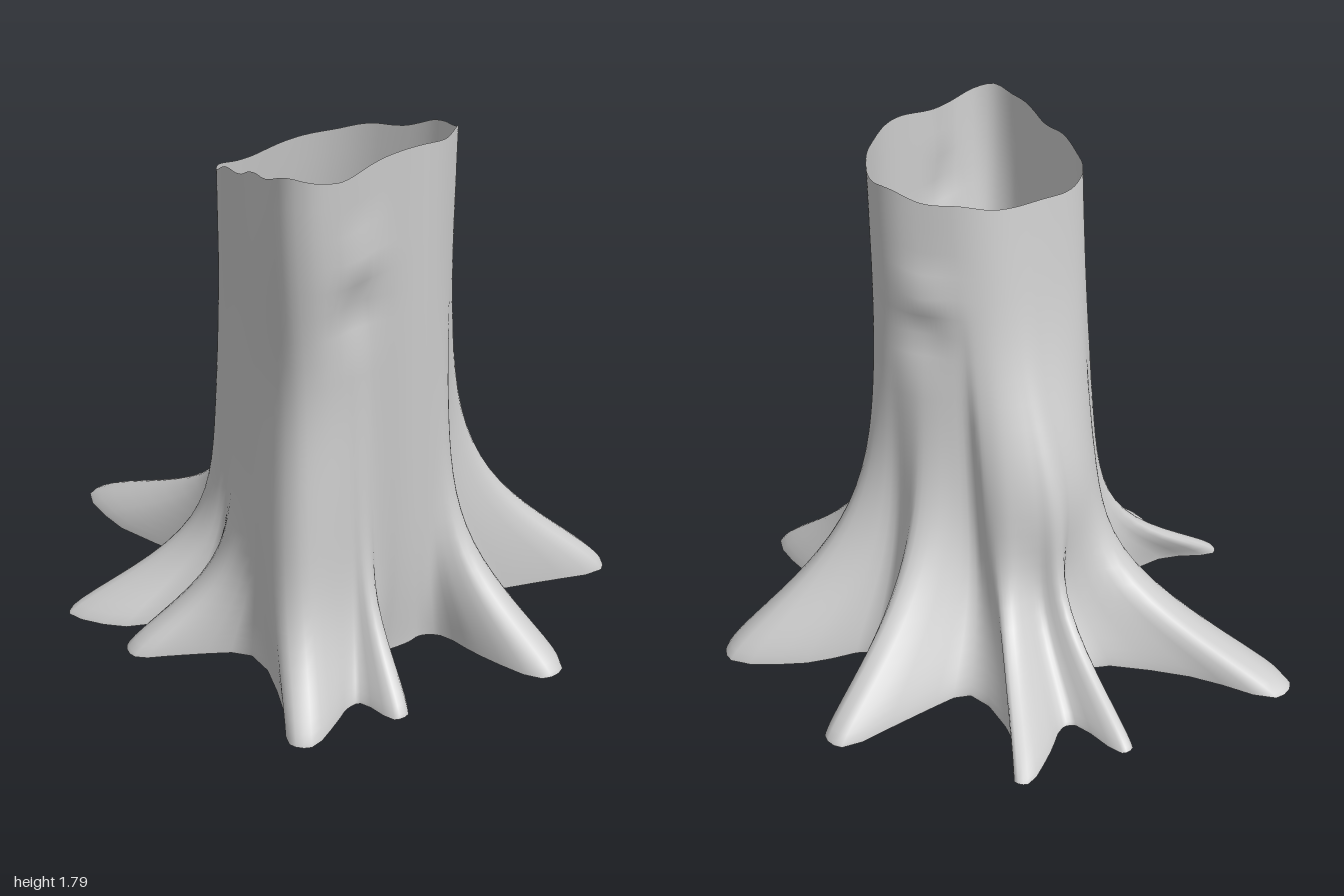
import * as THREE from 'three';

// Roots around the trunk: valley before it, bend, half width at the bend, tip
const ROOTS = [
  { valley: [0.4, -0.25], bend: [0.62, -0.09], width: 0.11, tip: [0.9, -0.11] },
  { valley: [0.5, 0.17], bend: [0.65, 0.4], width: 0.13, tip: [0.88, 0.53] },
  { valley: [0.33, 0.47], bend: [0.26, 0.76], width: 0.12, tip: [0.28, 0.98] },
  { valley: [0.1, 0.6], bend: [-0.05, 0.56], width: 0.09, tip: [-0.05, 0.57] },
  { valley: [-0.18, 0.61], bend: [-0.28, 0.77], width: 0.07, tip: [-0.28, 0.9] },
  { valley: [-0.4, 0.77], bend: [-0.52, 0.74], width: 0.09, tip: [-0.63, 0.85] },
  { valley: [-0.51, 0.35], bend: [-0.69, 0.12], width: 0.1, tip: [-0.84, 0.1] },
  { valley: [-0.58, 0.02], bend: [-0.74, -0.09], width: 0.07, tip: [-0.9, -0.24] },
  { valley: [-0.35, -0.16], bend: [-0.37, -0.68], width: 0.13, tip: [-0.43, -0.98] },
  { valley: [0, -0.42], bend: [0.18, -0.62], width: 0.06, tip: [0.2, -0.82] },
  { valley: [0.28, -0.59], bend: [0.43, -0.6], width: 0.06, tip: [0.57, -0.69] },
];
const HEIGHT = 1.8;
const ROWS = 28;
const { lerp, smoothstep, clamp } = THREE.MathUtils;
const bell = (d, w) => Math.exp(-(d * d) / (w * w));

// Footprint of one root: valley, side, two tip corners, other side
function rootOutline({ valley, bend, width, tip }) {
  const start = new THREE.Vector2(...bend), end = new THREE.Vector2(...tip);
  const along = end.clone().sub(start).normalize();
  const across = new THREE.Vector2(-along.y, along.x);
  const offset = (p, w) => p.clone().addScaledVector(across, w);
  return [new THREE.Vector2(...valley), offset(start, -width), offset(end, -0.4 * width),
    offset(end, 0.4 * width), offset(start, width)];
}

// Direction in which each valley leaves the trunk, rising once around
const valleyAngles = ROOTS.map(({ valley: [x, z] }) => Math.atan2(z - 0.17, x + 0.06));
const unwrapped = valleyAngles.map((a) => (a < valleyAngles[0] ? a + 2 * Math.PI : a));
unwrapped.push(valleyAngles[0] + 2 * Math.PI);

// Ground points paired with the trunk angle they rise to
const COLUMNS = ROOTS.flatMap((root, r) => rootOutline(root).map((ground, i, all) => (
  { ground, angle: lerp(unwrapped[r], unwrapped[r + 1], i / all.length) })));

// Trunk wall without roots: a leaning oval, a ridge up one front corner, a buttress behind
function wall(angle, y) {
  const t = y / HEIGHT;
  const ridge = (0.2 - 0.07 * bell(y - 1.05, 0.4)) * bell(angle - lerp(2.45, 2.27, t), 0.36);
  const buttress = 0.13 * bell(angle - 4.95, 0.5) * bell(y - 0.65, 0.35);
  const extra = ridge + buttress + 0.01 * Math.sin(angle * 5 + 1);
  return new THREE.Vector2(
    lerp(-0.06, -0.125, t) + (lerp(0.37, 0.4, t) + extra) * Math.cos(angle),
    lerp(0.17, 0.29, t) + (lerp(0.42, 0.315, t) + extra) * Math.sin(angle));
}

// How far a root still stands out at a height: steep except on the left, with a faint flute above
function reach(angle, y) {
  const slope = 0.21 + 0.15 * Math.pow(Math.max(0, Math.cos(angle - 0.1)), 4);
  return 0.92 * Math.exp(-Math.pow(y / slope, 1.4)) + 0.08 * (1 - smoothstep(y, 0, 1.45));
}

// Broken rim: low at the back, high in front
function rimHeight(x, z) {
  return 1.67 + 0.2 * clamp(z, 0, 0.62) - 0.045 * bell(x + 0.35, 0.18) + 0.008 * Math.sin(z * 31);
}

// Burl with a hollow below it, pushed along a horizontal direction
function knot(p, centre, direction, amount) {
  const side = bell(Math.hypot(p.x - centre.x, p.z - centre.z), 0.1);
  const dy = p.y - centre.y;
  p.addScaledVector(direction, amount * side * (bell(dy, 0.06) - 0.8 * bell(dy + 0.13, 0.09)));
}
const KNOTS = [
  [new THREE.Vector3(-0.28, 1.45, 0.6), new THREE.Vector3(0, 0, 1), 0.04],
  [new THREE.Vector3(0.27, 1.36, 0.12), new THREE.Vector3(0.9, 0, -0.4), 0.035],
];

// Horizontal section: each column slides from its ground point to the wall
function ring(y) {
  const controls = COLUMNS.map(({ ground, angle }) => {
    const p = wall(angle, y).lerp(ground, reach(angle, y));
    const rise = lerp(1, rimHeight(p.x, p.y) / HEIGHT, smoothstep(y, 0.9, HEIGHT));
    return new THREE.Vector3(p.x, y * rise, p.y);
  });
  const curve = new THREE.CatmullRomCurve3(controls, true);
  const count = controls.length * 3;
  return Array.from({ length: count }, (_, i) => {
    const p = curve.getPoint(i / count);
    KNOTS.forEach((k) => knot(p, ...k));
    return p;
  });
}

export function createModel() {
  const group = new THREE.Group();
  group.name = 'treeStump';
  const material = new THREE.MeshStandardMaterial({ color: 0xcccccc, side: THREE.DoubleSide });

  // Bark shell, rings joined from the ground to the rim, closer together near the ground
  const rings = Array.from({ length: ROWS + 1 }, (_, i) => ring(HEIGHT * Math.pow(i / ROWS, 1.5)));
  const n = rings[0].length;
  const index = [];
  for (let r = 0; r < ROWS; r++) {
    for (let i = 0; i < n; i++) {
      const a = r * n + i, b = r * n + (i + 1) % n;
      index.push(a, a + n, b, b, a + n, b + n);
    }
  }
  const bark = new THREE.BufferGeometry().setFromPoints(rings.flat());
  bark.setIndex(index);
  bark.computeVertexNormals();
  const trunk = new THREE.Mesh(bark, material);
  trunk.name = 'trunkAndRoots';
  group.add(trunk);

  // Flat underside, also the floor of the hollow trunk
  const footprint = new THREE.Shape(rings[0].map((p) => new THREE.Vector2(p.x, p.z)));
  const base = new THREE.Mesh(new THREE.ShapeGeometry(footprint).rotateX(Math.PI / 2), material);
  base.name = 'underside';
  group.add(base);

  return group;
}
